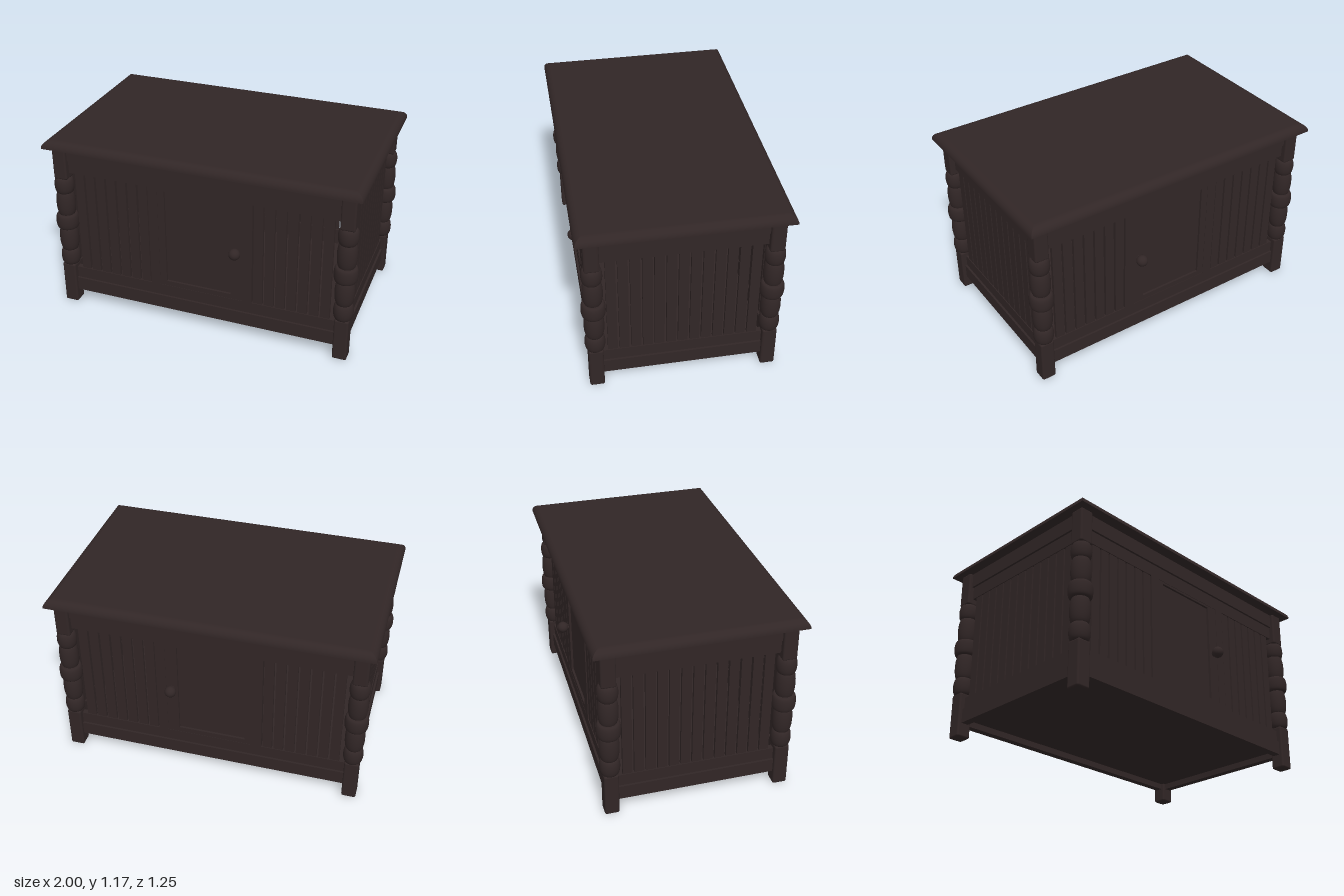
import * as THREE from 'three';
import { RoundedBoxGeometry } from 'three/addons/geometries/RoundedBoxGeometry.js';

export function createModel() {
  const model = new THREE.Group();
  model.name = 'slattedCrateTable';
  const wood = new THREE.MeshStandardMaterial({ color: 0x312626 });
  wood.name = 'dark stained wood';

  const add = (parent, name, geometry, x = 0, y = 0, z = 0) => {
    const mesh = new THREE.Mesh(geometry, wood);
    mesh.name = name;
    mesh.position.set(x, y, z);
    parent.add(mesh);
    return mesh;
  };
  // Box given by its limits on each axis
  const box = (parent, name, x0, x1, y0, y1, z0, z1) =>
    add(parent, name, new THREE.BoxGeometry(x1 - x0, y1 - y0, z1 - z0),
      (x0 + x1) / 2, (y0 + y1) / 2, (z0 + z1) / 2);

  // Table top: box whose sides curve inwards towards the upper face
  const steps = 8, topH = 0.05;
  const top = new THREE.BoxGeometry(2, topH, 1.245, 1, steps, 1);
  const p = top.attributes.position;
  for (let i = 0; i < p.count; i++) {
    const a = (p.getY(i) / topH + 0.5) * Math.PI / 2;
    const inset = 0.05 * (1 - Math.cos(a));
    p.setXYZ(i, p.getX(i) - Math.sign(p.getX(i)) * inset,
      topH * (Math.sin(a) - 0.5),
      p.getZ(i) - Math.sign(p.getZ(i)) * inset);
  }
  top.computeVertexNormals();
  add(model, 'tableTop', top, 0, 1.15, 0);

  // Turned corner posts: square ends, with beads, vases and a ring between
  const turnings = [
    // name, bottom, top, largest radius, fullness
    ['lowerBead', 0.28, 0.395, 0.062, 0.75],
    ['lowerVase', 0.385, 0.56, 0.061, 0.8],
    ['middleRing', 0.548, 0.652, 0.073, 0.35],
    ['upperVase', 0.64, 0.815, 0.061, 0.8],
    ['upperBead', 0.8, 0.91, 0.062, 0.75],
  ].map(([name, y0, y1, r, power]) => {
    const points = [];
    for (let i = 0; i <= 16; i++) {
      const a = Math.PI * i / 16;
      points.push(new THREE.Vector2(0.036 + (r - 0.036) * Math.pow(Math.max(0, Math.sin(a)), power),
        (y0 + y1) / 2 - (y1 - y0) / 2 * Math.cos(a)));
    }
    return [name, new THREE.LatheGeometry(points, 32)];
  });
  const foot = new RoundedBoxGeometry(0.09, 0.285, 0.09, 3, 0.012);
  const head = new RoundedBoxGeometry(0.09, 0.225, 0.09, 3, 0.012);
  for (const sx of [-1, 1]) for (const sz of [-1, 1]) {
    const post = new THREE.Group();
    post.name = (sz > 0 ? 'front' : 'back') + (sx > 0 ? 'Left' : 'Right') + 'Post';
    post.position.set(sx * 0.914, 0, sz * 0.53);
    add(post, 'foot', foot, 0, 0.1425, 0);
    add(post, 'head', head, 0, 1.0175, 0);
    turnings.forEach(([name, geometry]) => add(post, name, geometry));
    model.add(post);
  }

  // Stepped rails along one wall; the wall faces +z at the given depth
  const rails = (wall, half, depth) => {
    box(wall, 'upperApron', -half, half, 1.03, 1.127, depth - 0.02, depth + 0.028);
    box(wall, 'upperRail', -half, half, 0.945, 1.03, depth - 0.02, depth + 0.015);
    box(wall, 'lowerRail', -half, half, 0.178, 0.255, depth - 0.02, depth + 0.015);
    box(wall, 'lowerApron', -half, half, 0.087, 0.178, depth - 0.02, depth + 0.028);
  };
  const slat = new THREE.BoxGeometry(0.059, 0.72, 0.02);

  // Long walls with slats and a door; the knob side is the same x on both
  for (const s of [1, -1]) {
    const wall = new THREE.Group();
    wall.name = s > 0 ? 'frontWall' : 'backWall';
    wall.rotation.y = s > 0 ? 0 : Math.PI;
    rails(wall, 0.88, 0.525);
    for (let i = 0; i < 7; i++) for (const m of [-1, 1])
      add(wall, 'slat', slat, m * (0.374 + i * 0.0713), 0.6, 0.525);
    for (const m of [-1, 1])
      add(wall, 'doorJamb', new THREE.BoxGeometry(0.062, 0.7, 0.03), m * 0.306, 0.6, 0.525);
    const door = new THREE.Group();
    door.name = 'door';
    box(door, 'hingeStile', ...(s > 0 ? [-0.277, -0.23] : [0.23, 0.277]), 0.255, 0.945, 0.51, 0.538);
    box(door, 'knobStile', ...(s > 0 ? [0.2, 0.277] : [-0.277, -0.2]), 0.255, 0.945, 0.51, 0.538);
    box(door, 'topDoorRail', -0.25, 0.25, 0.93, 0.945, 0.51, 0.538);
    box(door, 'bottomDoorRail', -0.25, 0.25, 0.255, 0.288, 0.51, 0.538);
    box(door, 'doorPanel', -0.25, 0.25, 0.27, 0.94, 0.512, 0.524);
    const stem = add(door, 'knobStem', new THREE.CylinderGeometry(0.014, 0.018, 0.03, 20), s * 0.237, 0.608, 0.545);
    stem.rotation.x = Math.PI / 2;
    add(door, 'knob', new THREE.SphereGeometry(0.036, 28, 18), s * 0.237, 0.608, 0.575);
    wall.add(door);
    model.add(wall);
  }

  // Short end walls with slats only
  for (const s of [1, -1]) {
    const wall = new THREE.Group();
    wall.name = s > 0 ? 'leftWall' : 'rightWall';
    wall.rotation.y = s * Math.PI / 2;
    rails(wall, 0.495, 0.909);
    for (let i = -6; i <= 6; i++) add(wall, 'slat', slat, i * 0.0707, 0.6, 0.909);
    model.add(wall);
  }

  // Floor board, set up inside the lower rails
  box(model, 'floor', -0.9, 0.9, 0.125, 0.145, -0.515, 0.515);
  return model;
}
